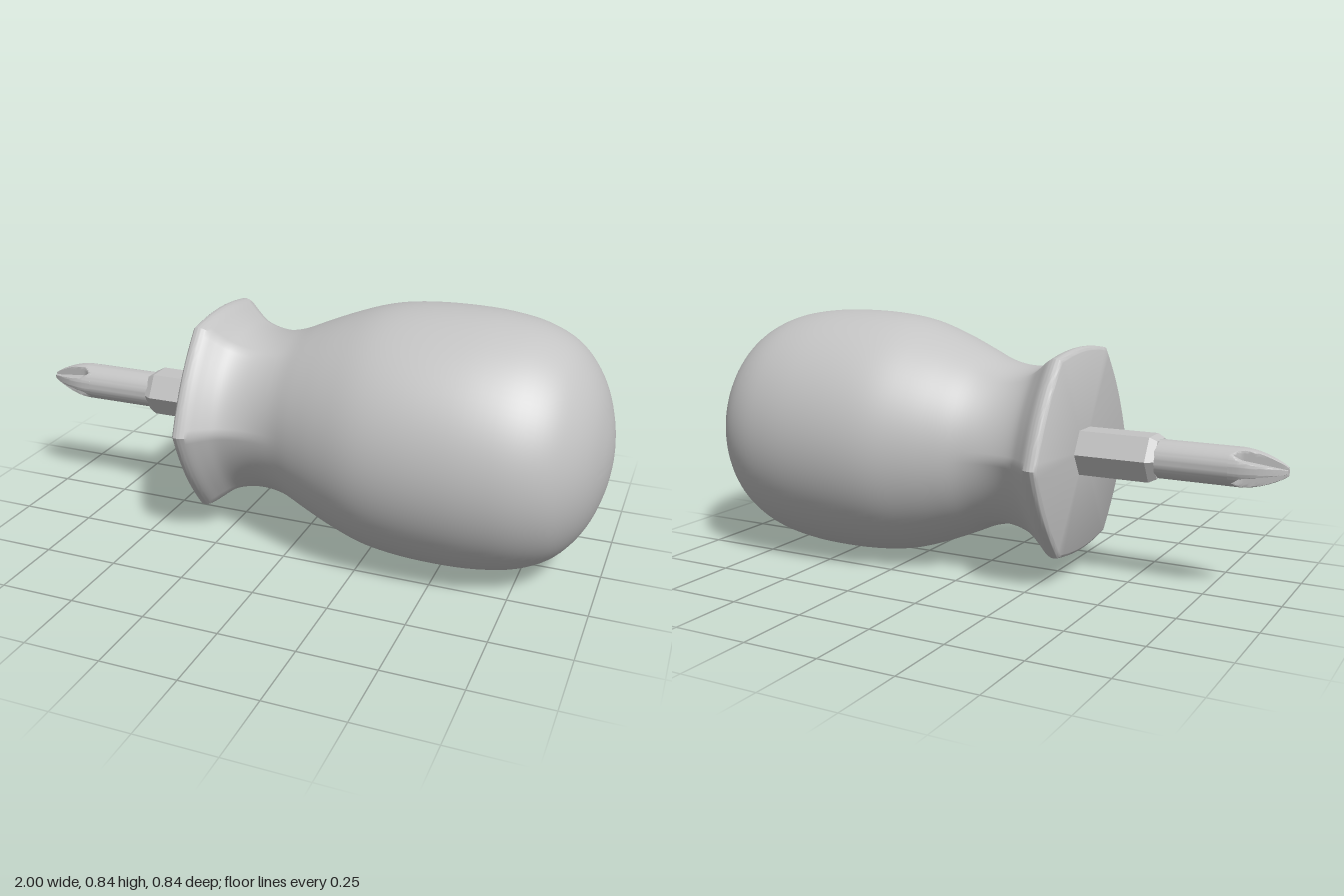
import * as THREE from 'three';
import { toCreasedNormals } from 'three/addons/utils/BufferGeometryUtils.js';

const AXIS_Y = 0.42;

// Skins rings along x; radius(x, r, angle) shapes each ring, angle 0 points up.
function sweep(stations, radius, segments, crease) {
  const positions = [], index = [];
  for (const [x, r] of stations) {
    for (let j = 0; j < segments; j++) {
      const a = (j / segments) * Math.PI * 2;
      const k = radius(x, r, a);
      positions.push(x, k * Math.cos(a), k * Math.sin(a));
    }
  }
  for (let i = 0; i < stations.length - 1; i++) {
    for (let j = 0; j < segments; j++) {
      const a0 = i * segments + j, a1 = i * segments + ((j + 1) % segments);
      const b0 = a0 + segments, b1 = a1 + segments;
      if (stations[i][1] > 0) index.push(a0, a1, b0);
      if (stations[i + 1][1] > 0) index.push(a1, b1, b0);
    }
  }
  const geometry = new THREE.BufferGeometry();
  geometry.setAttribute('position', new THREE.Float32BufferAttribute(positions, 3));
  geometry.setIndex(index);
  return toCreasedNormals(geometry, crease);
}

// Ratio of a hexagon's radius to its apothem, flats facing up and down
function hexRatio(a) {
  const step = Math.PI / 3;
  const local = ((a + step / 2) % step) - step / 2;
  return 1 / Math.cos(local);
}

const round = (x, r) => r;

export function createModel() {
  const model = new THREE.Group();
  model.name = 'stubbyScrewdriver';
  const grey = new THREE.MeshStandardMaterial({ color: 0xc4c4c4 });
  grey.name = 'light grey';

  const add = (name, geometry) => {
    const mesh = new THREE.Mesh(geometry, grey);
    mesh.name = name;
    mesh.position.y = AXIS_Y;
    model.add(mesh);
  };

  // Handle: bulbous grip whose neck flares into a soft-sided hexagonal flange
  const curve = new THREE.CatmullRomCurve3([
    [-0.34, 0.322], [-0.333, 0.332], [-0.318, 0.335], [-0.295, 0.328], [-0.26, 0.302],
    [-0.22, 0.276], [-0.17, 0.264], [-0.11, 0.265], [-0.04, 0.282], [0.04, 0.317],
    [0.14, 0.359], [0.25, 0.396], [0.35, 0.413], [0.5, 0.42], [0.64, 0.413],
    [0.76, 0.389], [0.85, 0.345], [0.91, 0.285], [0.955, 0.21], [0.985, 0.12],
    [0.997, 0.05], [1.0, 0],
  ].map(([x, r]) => new THREE.Vector3(x, r, 0)), false, 'centripetal');
  const profile = curve.getPoints(84).map((p) => [p.x, Math.max(p.y, 0)]);
  profile[profile.length - 1][1] = 0;
  const handleRadius = (x, r, a) => {
    const hex = 1 - THREE.MathUtils.smoothstep(x, -0.31, 0.02);
    return r * (1 + hex * 0.6 * (hexRatio(a) - 1));
  };
  add('handle', sweep([[-0.34, 0], ...profile], handleRadius, 96, 0.6));

  // Hexagonal bolster with a chamfered front end
  add('hexBolster', sweep(
    [[-0.6, 0], [-0.6, 0.06], [-0.575, 0.072], [-0.33, 0.072]],
    (x, r, a) => r * hexRatio(a), 6 * 2, 0.3));

  // Round shaft
  add('shaft', sweep([[-0.83, 0.062], [-0.58, 0.062]], round, 64, 0.6));

  // Cross tip: a tapering ogive with four square notches on the diagonals
  const tip = [[-1, 0], [-1, 0.014]];
  for (let i = 1; i <= 24; i++) {
    const x = -1 + (0.17 * i) / 24;
    const t = Math.min(1, (x + 1) / 0.15);
    tip.push([x, 0.014 + 0.048 * Math.pow(Math.sin((t * Math.PI) / 2), 0.85)]);
  }
  const tipRadius = (x, r, a) => {
    const halfWing = 0.006 + 0.15 * (x + 1) + 0.016 * THREE.MathUtils.smoothstep(x, -0.87, -0.83);
    const side = Math.min(Math.abs(Math.cos(a)), Math.abs(Math.sin(a)));
    return Math.min(r, halfWing / Math.max(side, 1e-4));
  };
  add('crossTip', sweep(tip, tipRadius, 128, 0.6));

  return model;
}
